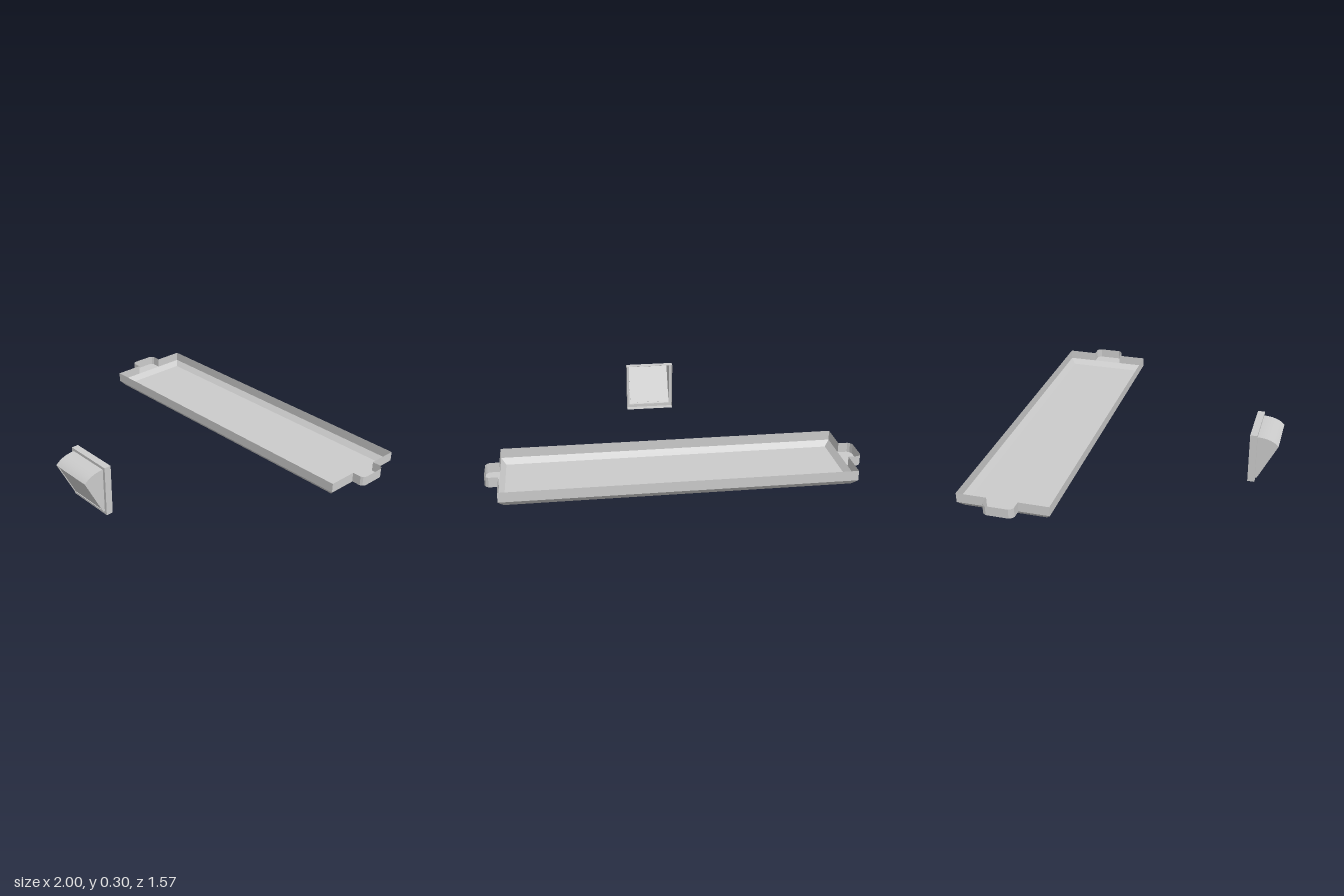
import * as THREE from 'three';

const makeMaterial = () => new THREE.MeshStandardMaterial({ color: 0xcccccc, side: THREE.DoubleSide });

// Thin skin through rows of [x, y, z] points; optional closing of rows, end cap and smooth normals.
function skin(name, rows, { closed = true, cap = false, smooth = false } = {}) {
  const n = rows[0].length;
  const index = [];
  for (let r = 0; r < rows.length - 1; r++) {
    for (let i = 0; i < (closed ? n : n - 1); i++) {
      const j = (i + 1) % n;
      const a = r * n + i, b = r * n + j, c = a + n, d = b + n;
      index.push(a, b, d, a, d, c);
    }
  }
  if (cap) {
    const s = (rows.length - 1) * n;
    for (let i = 1; i < n - 1; i++) index.push(s, s + i, s + i + 1);
  }
  let geo = new THREE.BufferGeometry();
  geo.setAttribute('position', new THREE.Float32BufferAttribute(rows.flat(2), 3));
  geo.setIndex(index);
  if (!smooth) geo = geo.toNonIndexed();
  geo.computeVertexNormals();
  const mesh = new THREE.Mesh(geo, makeMaterial());
  mesh.name = name;
  return mesh;
}

function createTray() {
  const tray = new THREE.Group();
  tray.name = 'tray';
  const rim = 0.18, shoulder = 0.125, base = 0.095;
  const X = 0.927, H = 0.173 / 2, cz = -0.526, D = 0.257;

  // right-hand handle outline, front to back, with clipped corners
  const tab = [[X, H], [0.978, H], [0.991, H - 0.008], [1, H - 0.024],
    [1, -H + 0.024], [0.991, -H + 0.008], [0.978, -H], [X, -H]];
  const mirrored = tab.map(([x, z]) => [-x, -z]);
  const outline = [[X, D], ...tab, [X, -D], [-X, -D], ...mirrored, [-X, D]];
  const at = (pts, y) => pts.map(([x, z]) => [x, y, z + cz]);
  const rect = (x, z) => [[x, z], [x, -z], [-x, -z], [-x, z]];

  // upright rim running round the tray and both handles
  tray.add(skin('trayRim', [at(outline, shoulder), at(outline, rim)]));

  // sloping lower edge and floor
  tray.add(skin('trayFloor',
    [at(rect(X, D), shoulder), at(rect(X - 0.027, D - 0.027), base)].reverse()));
  tray.add(skin('trayBase', [at(rect(X - 0.027, D - 0.027), base)], { cap: true }));

  // handle floors
  [tab, mirrored].forEach((pts, i) => {
    tray.add(skin(i ? 'rightHandleFloor' : 'leftHandleFloor', [at(pts, shoulder)], { cap: true }));
  });
  return tray;
}

function createHood() {
  const hood = new THREE.Group();
  hood.name = 'hood';
  const back = 0.624, face = 0.664, size = 0.148, W = 0.131;
  const low = 0.019, high = 0.281;
  const ring = (x, y0, y1, z) => [[-x, y0, z], [x, y0, z], [x, y1, z], [-x, y1, z]];

  // square flange, open at the back, with a narrow front lip
  hood.add(skin('flange', [
    ring(size, 0, 0.297, back),
    ring(size, 0, 0.297, face),
    ring(W, low, high, face),
  ]));

  // side profile as (z, y)
  const toe = new THREE.Vector2(0.674, low);
  const tip = new THREE.Vector2(0.783, 0.237);
  const arc = new THREE.QuadraticBezierCurve(tip,
    new THREE.Vector2(0.742, high), new THREE.Vector2(face, high)).getPoints(12);
  const row = (pts, x) => pts.map((p) => [x, p.y, p.x]);

  // curved top
  hood.add(skin('curvedTop', [row(arc, W), row(arc, -W)], { closed: false, smooth: true }));

  // small ledge under the front panel
  const ledge = [new THREE.Vector2(face, low), toe];
  hood.add(skin('bottomLedge', [row(ledge, W), row(ledge, -W)], { closed: false }));

  // side panels
  for (const s of [1, -1]) {
    hood.add(skin(s > 0 ? 'leftSide' : 'rightSide', [row([...ledge, ...arc], s * W)], { cap: true }));
  }

  // sloping front panel, slightly recessed inside a narrow border
  const panel = (inset, depth) => {
    const dir = tip.clone().sub(toe).normalize();
    const a = toe.clone().addScaledVector(dir, inset);
    const b = tip.clone().addScaledVector(dir, -inset);
    for (const p of [a, b]) p.add(new THREE.Vector2(-dir.y, dir.x).multiplyScalar(depth));
    const x = W - inset;
    return [[-x, a.y, a.x], [x, a.y, a.x], [x, b.y, b.x], [-x, b.y, b.x]];
  };
  hood.add(skin('frontPanel', [panel(0, 0), panel(0.008, 0), panel(0.008, 0.004)], { cap: true }));
  return hood;
}

export function createModel() {
  const model = new THREE.Group();
  model.name = 'trayAndHood';
  model.add(createTray(), createHood());
  return model;
}
